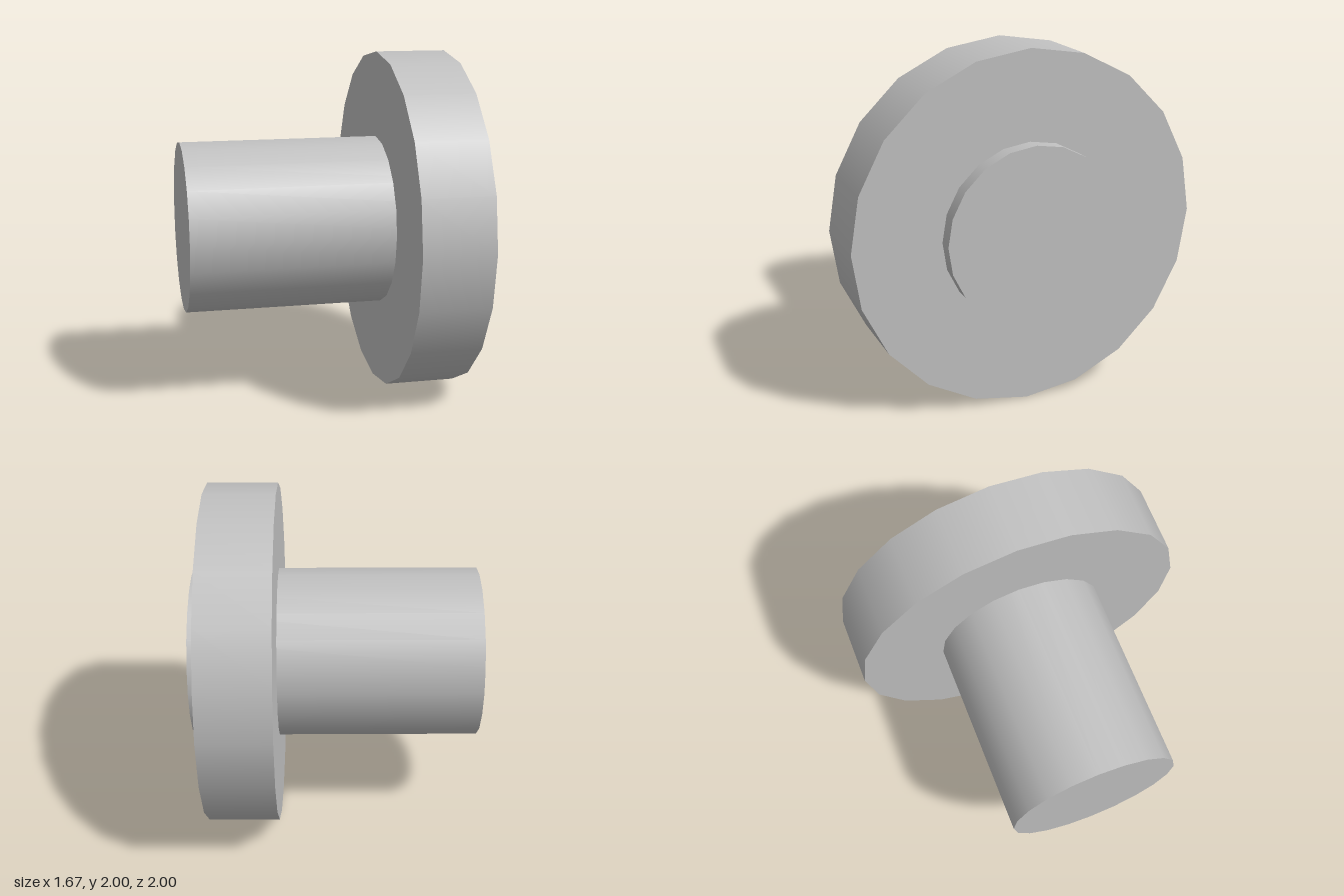
import * as THREE from 'three';

const SIDES = 20;

// Solid disc or rod lying along x, from x0 to x1
function rod(name, radius, x0, x1, material) {
  const geometry = new THREE.CylinderGeometry(radius, radius, x1 - x0, SIDES);
  geometry.rotateZ(Math.PI / 2);
  const mesh = new THREE.Mesh(geometry, material);
  mesh.name = name;
  mesh.position.set((x0 + x1) / 2, 1, 0);
  return mesh;
}

export function createModel() {
  const group = new THREE.Group();
  group.name = 'flangedShaft';
  const steel = new THREE.MeshStandardMaterial({ color: 0xc0c0c0 });
  steel.name = 'light grey steel';

  // Shaft, long on one side of the flange and a short stub on the other
  group.add(rod('shaft', 0.5, -0.833, 0.833, steel));
  // Wide flange disc
  group.add(rod('flange', 1, 0.333, 0.746, steel));

  return group;
}
